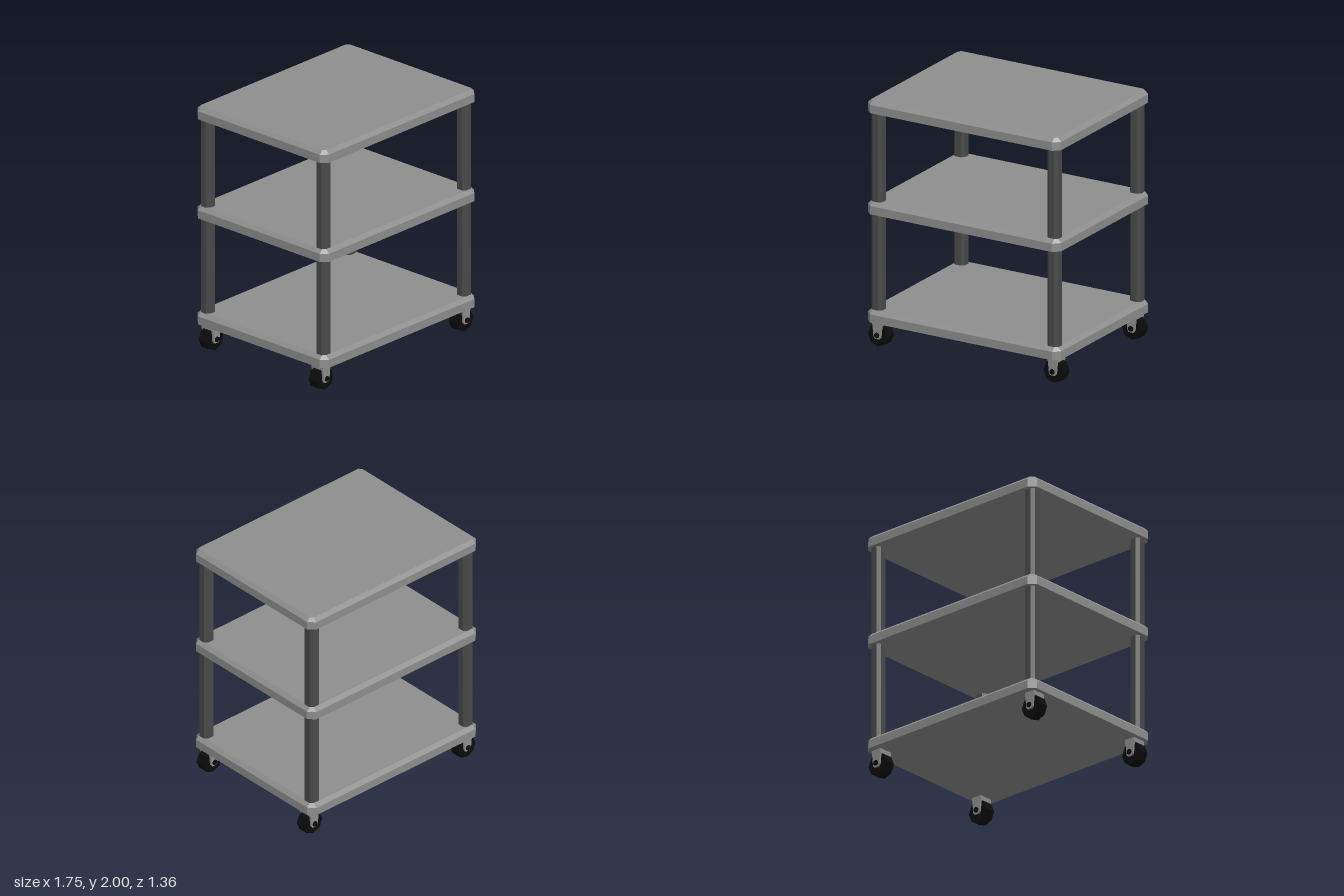
import * as THREE from 'three';

const shelfGrey = new THREE.MeshStandardMaterial({ name: 'shelfGrey', color: 0x8e8e8e, flatShading: true });
const postGrey = new THREE.MeshStandardMaterial({ name: 'postGrey', color: 0x4a4a4a, flatShading: true });
const rubberBlack = new THREE.MeshStandardMaterial({ name: 'rubberBlack', color: 0x0b0b0b, flatShading: true });

// Rectangle with cut corners, as [x, z] points around the centre
function cutRect(hx, hz, c) {
  return [
    [hx, -hz + c], [hx, hz - c], [hx - c, hz], [-hx + c, hz],
    [-hx, hz - c], [-hx, -hz + c], [-hx + c, -hz], [hx - c, -hz],
  ];
}

// Closed solid through horizontal rings, listed from bottom to top
function loft(rings) {
  const pos = [];
  const n = rings[0].pts.length;
  const at = (r, i) => [r.pts[i % n][0], r.y, r.pts[i % n][1]];
  for (let k = 0; k < rings.length - 1; k++) {
    const lo = rings[k], hi = rings[k + 1];
    for (let i = 0; i < n; i++) {
      const a = at(lo, i), b = at(lo, i + 1), c = at(hi, i + 1), d = at(hi, i);
      pos.push(...a, ...c, ...b, ...a, ...d, ...c);
    }
  }
  const bottom = rings[0], top = rings[rings.length - 1];
  for (let i = 1; i < n - 1; i++) {
    pos.push(...at(bottom, 0), ...at(bottom, i), ...at(bottom, i + 1));
    pos.push(...at(top, 0), ...at(top, i + 1), ...at(top, i));
  }
  const g = new THREE.BufferGeometry();
  g.setAttribute('position', new THREE.Float32BufferAttribute(pos, 3));
  g.computeVertexNormals();
  return g;
}

function add(parent, name, geometry, material, x = 0, y = 0, z = 0) {
  const mesh = new THREE.Mesh(geometry, material);
  mesh.name = name;
  mesh.position.set(x, y, z);
  parent.add(mesh);
  return mesh;
}

// Fork arm: tapered plate with clipped lower corners
function armGeometry(depth) {
  const s = new THREE.Shape();
  [[-0.045, 0.215], [-0.032, 0.08], [-0.02, 0.065], [0.02, 0.065], [0.032, 0.08], [0.045, 0.215]]
    .forEach(([x, y], i) => (i ? s.lineTo(x, y) : s.moveTo(x, y)));
  const g = new THREE.ExtrudeGeometry(s, { depth, bevelEnabled: false });
  g.translate(0, 0, -depth / 2);
  return g;
}

export function createModel() {
  const model = new THREE.Group();
  model.name = 'trolley';

  // Three shelves with cut corners and a bevelled top edge
  const shelf = loft([
    { y: 0, pts: cutRect(0.865, 0.682, 0.05) },
    { y: 0.067, pts: cutRect(0.865, 0.682, 0.05) },
    { y: 0.096, pts: cutRect(0.835, 0.652, 0.022) },
  ]);
  [['bottomShelf', 0.209], ['middleShelf', 1.085], ['topShelf', 1.904]]
    .forEach(([name, y]) => add(model, name, shelf, shelfGrey, 0, y));

  // Corner posts
  const post = loft([0.29, 1.91].map((y) => ({ y, pts: cutRect(0.05, 0.05, 0.024) })));

  // Caster parts, with the wheel axis along z
  const arm = armGeometry(0.016);
  const bridge = new THREE.BoxGeometry(0.09, 0.036, 0.116);
  const wheel = new THREE.CylinderGeometry(0.092, 0.092, 0.085, 8).rotateX(Math.PI / 2);
  const axle = new THREE.CylinderGeometry(0.022, 0.022, 0.138, 8).rotateX(Math.PI / 2);

  for (const sx of [-1, 1]) {
    for (const sz of [-1, 1]) {
      const place = (sz > 0 ? 'front' : 'back') + (sx > 0 ? 'Left' : 'Right');
      add(model, place + 'Post', post, postGrey, sx * 0.787, 0, sz * 0.6);

      const caster = new THREE.Group();
      caster.name = place + 'Caster';
      caster.position.set(sx * 0.785, 0, sz * 0.571);
      add(caster, 'forkBridge', bridge, shelfGrey, 0, 0.192);
      add(caster, 'forkArmFront', arm, shelfGrey, 0, 0, 0.051);
      add(caster, 'forkArmBack', arm, shelfGrey, 0, 0, -0.051);
      add(caster, 'wheel', wheel, rubberBlack, 0, 0.092);
      add(caster, 'axle', axle, rubberBlack, 0, 0.096);
      model.add(caster);
    }
  }
  return model;
}
